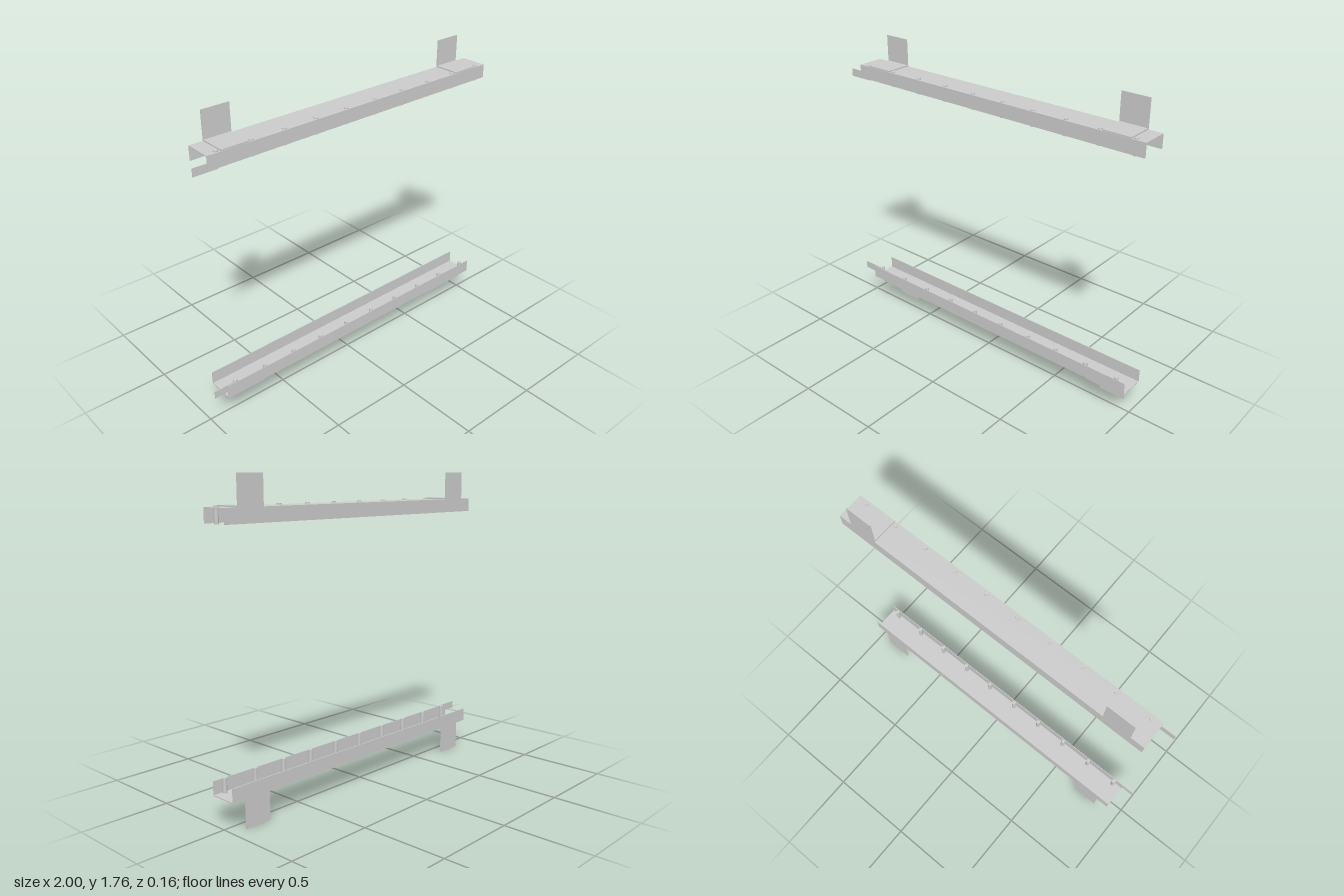
import * as THREE from 'three';

const MID = 0.88; // mirror height between the two rails
const material = new THREE.MeshStandardMaterial({ color: 0xcccccc, flatShading: true });

// Box from its extents; up = 1 keeps heights, up = -1 mirrors them about MID
function addBox(group, name, up, [x0, x1], [y0, y1], [z0, z1]) {
  const mesh = new THREE.Mesh(new THREE.BoxGeometry(x1 - x0, y1 - y0, z1 - z0), material);
  mesh.position.set((x0 + x1) / 2, MID + up * ((y0 + y1) / 2 - MID), (z0 + z1) / 2);
  mesh.name = name;
  group.add(mesh);
}

function makeRail(name, up) {
  const rail = new THREE.Group();
  rail.name = name;

  // U-shaped channel
  const span = [-0.92, 1];
  addBox(rail, 'channelWeb', up, span, [1.596, 1.601], [-0.078, 0.078]);
  addBox(rail, 'frontFlange', up, span, [1.523, 1.596], [0.0745, 0.078]);
  addBox(rail, 'backFlange', up, span, [1.523, 1.596], [-0.078, -0.0745]);

  // Narrow joining tab at the right end
  addBox(rail, 'joiningTab', up, [-1, -0.86], [1.517, 1.562], [0.071, 0.0745]);

  // Angle brackets: a foot on the web and an upright plate
  for (const x of [-0.76, 0.84]) {
    const width = [x - 0.08, x + 0.08];
    addBox(rail, 'bracketFoot', up, width, [1.601, 1.608], [-0.078, 0.076]);
    addBox(rail, 'bracketPlate', up, width, [1.608, 1.76], [-0.078, -0.073]);
  }

  // Row of pins through the web, just inside the front flange
  const pinGeometry = new THREE.CylinderGeometry(0.012, 0.012, 0.09, 12);
  for (let i = 0; i < 10; i++) {
    const pin = new THREE.Mesh(pinGeometry, material);
    pin.name = 'pin';
    pin.position.set(-0.86 + i * 0.2, MID + up * (1.562 - MID), 0.06);
    rail.add(pin);
  }
  return rail;
}

export function createModel() {
  const model = new THREE.Group();
  model.name = 'railPair';
  model.add(makeRail('upperRail', 1), makeRail('lowerRail', -1));
  return model;
}
